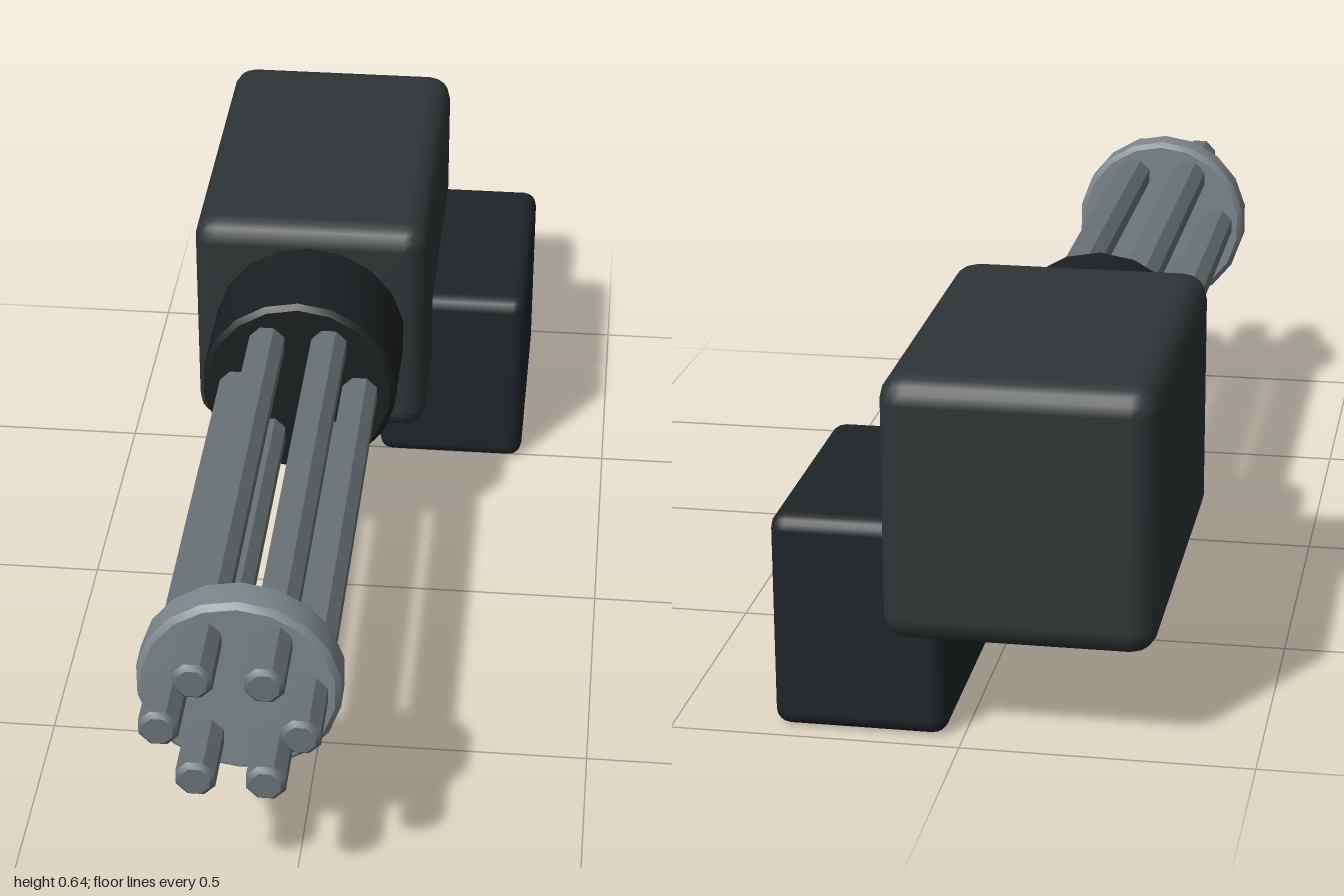
import * as THREE from 'three';
import { toCreasedNormals } from 'three/addons/utils/BufferGeometryUtils.js';
import { RoundedBoxGeometry } from 'three/addons/geometries/RoundedBoxGeometry.js';

const AXIS_X = -0.097, AXIS_Y = 0.412; // centre line of the barrel cluster

const paint = (color) => new THREE.MeshStandardMaterial({ color });

// Solid cylinder along z from z0 to z1, with a small chamfer on both rims
function chamferedCylinder(radius, z0, z1, chamfer, sides, turn = 0) {
  const profile = [
    [0, z0], [radius - chamfer, z0], [radius, z0 + chamfer],
    [radius, z1 - chamfer], [radius - chamfer, z1], [0, z1],
  ].map(([r, h]) => new THREE.Vector2(r, h));
  const geometry = new THREE.LatheGeometry(profile, sides);
  geometry.rotateY(turn).rotateX(Math.PI / 2);
  return toCreasedNormals(geometry, 0.6);
}

// Rounded block given by its lowest and highest corners
function block(min, max, radius) {
  const size = max.map((v, i) => v - min[i]);
  const centre = max.map((v, i) => (v + min[i]) / 2);
  return new RoundedBoxGeometry(...size, 2, radius).translate(...centre);
}

export function createModel() {
  const model = new THREE.Group();
  model.name = 'rotaryGun';
  const add = (name, geometry, material, parent = model) => {
    const mesh = new THREE.Mesh(geometry, material);
    mesh.name = name;
    parent.add(mesh);
    return mesh;
  };

  const bodyPaint = paint(0x2e3436);
  const darkPaint = paint(0x1f2427);
  const collarPaint = paint(0x1b1f21);
  const barrelPaint = paint(0x697275);
  const platePaint = paint(0x7d878b);

  // Housing and the ammunition box at its lower left
  add('housing', block([-0.33, 0.18, -1], [0.135, 0.645, -0.29], 0.045), bodyPaint);
  add('ammoBox', block([0.028, 0, -0.968], [0.328, 0.384, -0.48], 0.027), darkPaint);

  // Rotating parts share one centre line
  const rotor = new THREE.Group();
  rotor.name = 'rotor';
  rotor.position.set(AXIS_X, AXIS_Y, 0);
  model.add(rotor);

  add('collar', chamferedCylinder(0.19, -0.31, -0.07, 0.01, 18), collarPaint, rotor);
  add('frontPlate', chamferedCylinder(0.178, 0.8, 0.875, 0.01, 18), platePaint, rotor);

  // Six barrels in a ring
  const barrel = chamferedCylinder(0.0365, -0.1, 1, 0.009, 8, Math.PI / 8);
  for (let i = 0; i < 6; i++) {
    const angle = (i * Math.PI) / 3;
    add('barrel' + (i + 1), barrel, barrelPaint, rotor)
      .position.set(0.12 * Math.cos(angle), 0.12 * Math.sin(angle), 0);
  }

  return model;
}
